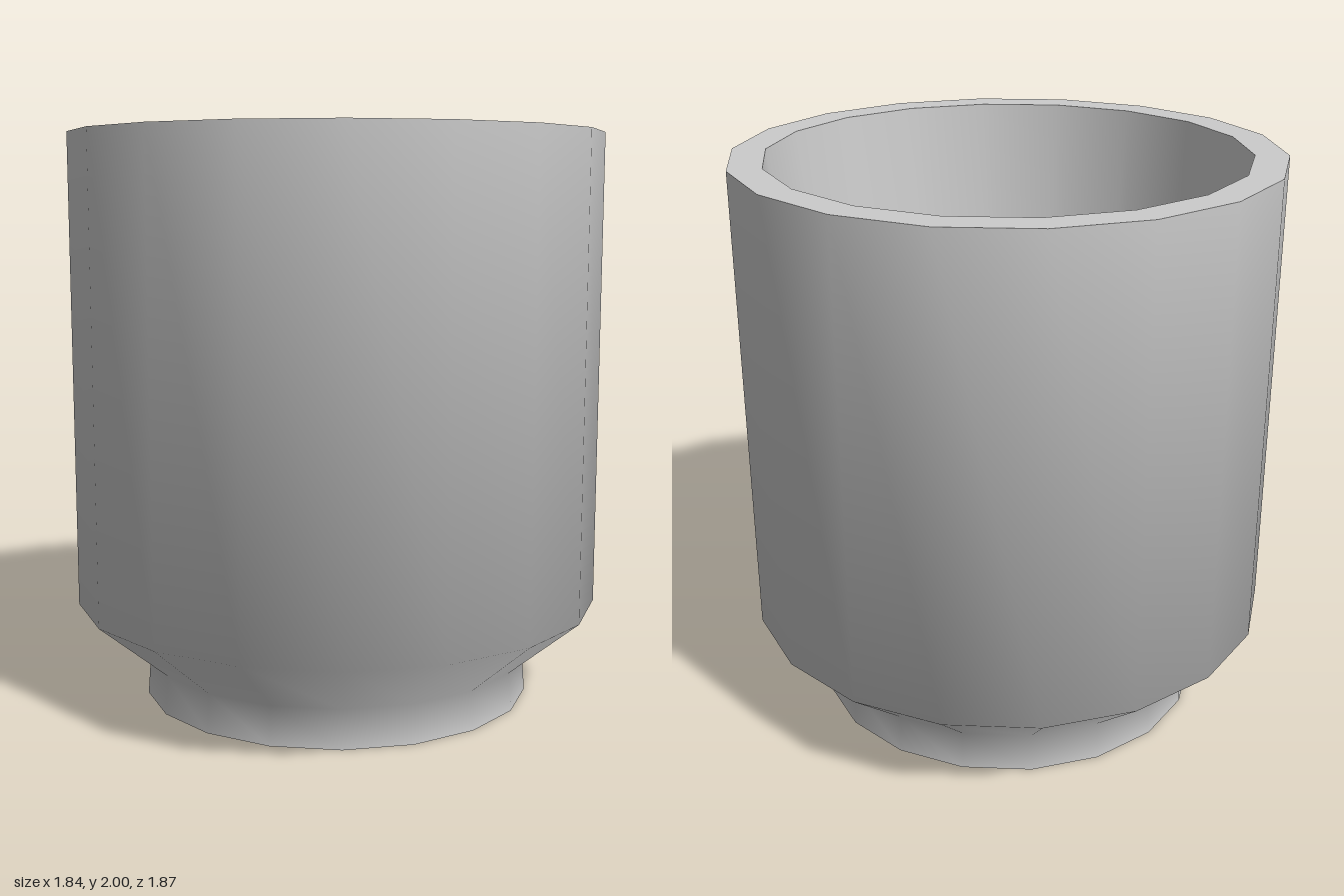
import * as THREE from 'three';
import { toCreasedNormals } from 'three/addons/utils/BufferGeometryUtils.js';

const SIDES = 18;

export function createModel() {
  const group = new THREE.Group();
  group.name = 'planter';
  const material = new THREE.MeshStandardMaterial({ color: 0xcccccc });

  // Each part is smooth in itself; edges between parts stay sharp
  const ring = (name, profile) => {
    const points = profile.map(([r, y]) => new THREE.Vector2(r, y));
    const geometry = toCreasedNormals(new THREE.LatheGeometry(points, SIDES), Math.PI / 3);
    const mesh = new THREE.Mesh(geometry, material);
    mesh.name = name;
    group.add(mesh);
  };

  const rOut = 0.935, rIn = 0.82, rFoot = 0.695, rFloor = 0.615, rHole = 0.036;
  const floorY = 0.14, drainTop = 0.125, drainBottom = 0.02;

  // Flared foot, sloping shoulder and straight outer wall
  ring('outerWall', [[rFoot, 0], [0.685, 0.135], [rOut, 0.345], [rOut, 2]]);
  // Flat top edge
  ring('rim', [[rOut, 2], [rIn, 2]]);
  // Inner wall tapering evenly from rim to floor
  ring('innerWall', [[rIn, 2], [rFloor, floorY]]);
  // Floor falling slightly to the drain hole, and a slightly dished underside
  ring('floor', [[rFloor, floorY], [rHole, drainTop]]);
  ring('drainHole', [[rHole, drainTop], [rHole, drainBottom]]);
  ring('underside', [[rHole, drainBottom], [rFoot, 0]]);

  return group;
}
